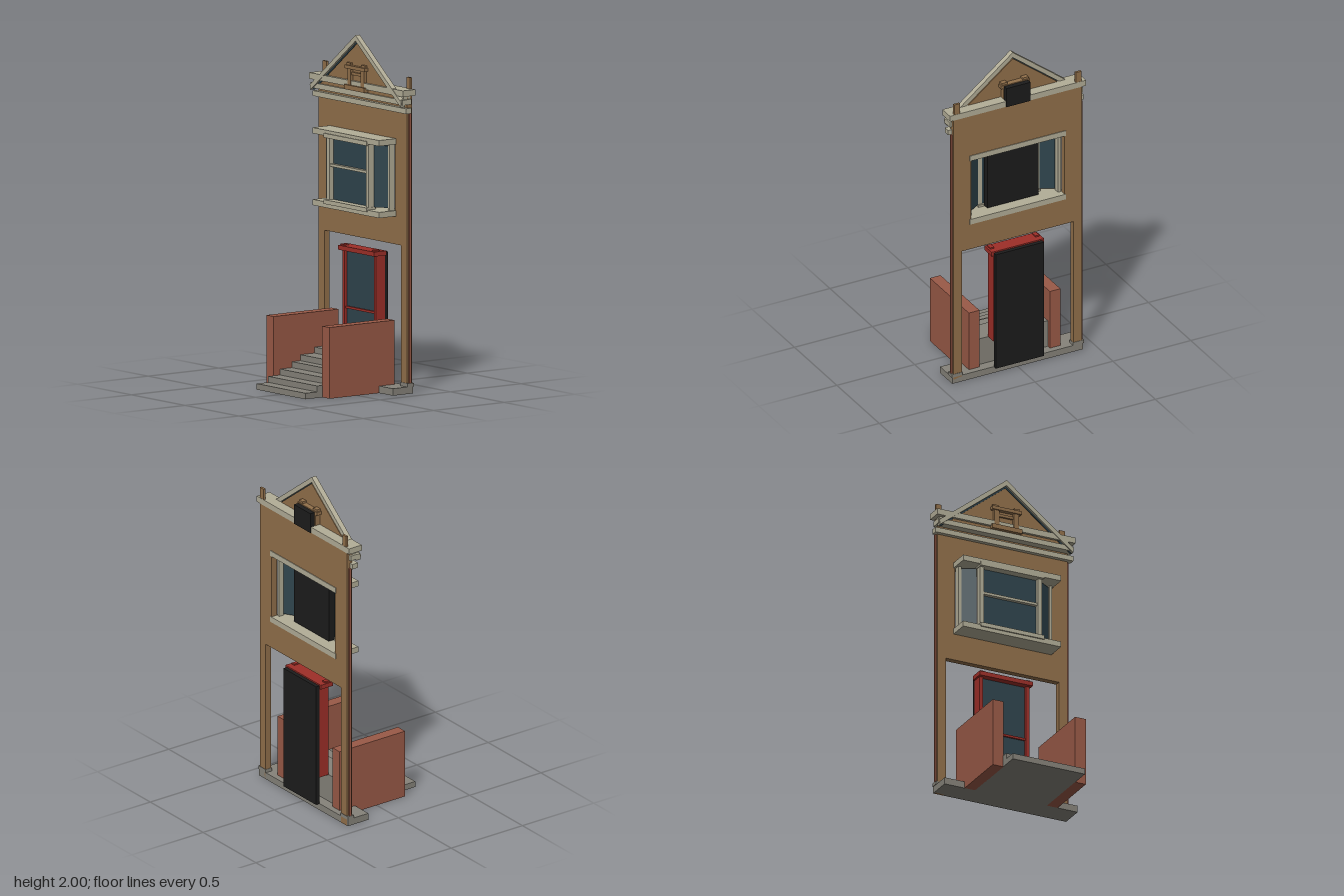
import * as THREE from 'three';

const mat = (name, color) => {
  const m = new THREE.MeshStandardMaterial({ color });
  m.name = name;
  return m;
};

export function createModel() {
  const root = new THREE.Group();
  root.name = 'townhouseFront';
  const wall = mat('tanWall', 0x92704b);
  const cream = mat('creamTrim', 0xb3ae98);
  const brick = mat('brick', 0x9a5a47);
  const red = mat('redDoor', 0x9e2f28);
  const stone = mat('greyStone', 0x86837a);
  const glass = mat('darkGlass', 0x2f444d);
  const black = mat('blackBacking', 0x1c1c1c);

  // box given by its limits on each axis
  const box = (name, m, x0, x1, y0, y1, z0, z1) => {
    const mesh = new THREE.Mesh(new THREE.BoxGeometry(x1 - x0, y1 - y0, z1 - z0), m);
    mesh.position.set((x0 + x1) / 2, (y0 + y1) / 2, (z0 + z1) / 2);
    mesh.name = name;
    root.add(mesh);
    return mesh;
  };
  const pair = (name, m, x0, x1, ...rest) => {
    box(name + 'Left', m, x0, x1, ...rest);
    box(name + 'Right', m, -x1, -x0, ...rest);
  };
  const wide = (name, m, x, ...rest) => box(name, m, -x, x, ...rest);
  // flat outline pushed from z0 to z1
  const plate = (name, m, points, z0, z1, hole) => {
    const shape = new THREE.Shape(points.map(p => new THREE.Vector2(...p)));
    if (hole) shape.holes.push(new THREE.Path(hole.map(p => new THREE.Vector2(...p))));
    const geo = new THREE.ExtrudeGeometry(shape, { depth: z1 - z0, bevelEnabled: false });
    const mesh = new THREE.Mesh(geo, m);
    mesh.position.z = z0;
    mesh.name = name;
    root.add(mesh);
  };

  // facade with doorway and window opening
  plate('facade', wall, [
    [-0.412, 0], [-0.357, 0], [-0.357, 0.84], [0.357, 0.84], [0.357, 0],
    [0.412, 0], [0.412, 1.7], [-0.412, 1.7],
  ], -0.296, -0.26, [[-0.3, 1.01], [-0.3, 1.43], [0.3, 1.43], [0.3, 1.01]]);
  pair('brickEdge', brick, 0.411, 0.422, 0.04, 1.6, -0.284, -0.27);
  pair('roofPost', wall, 0.372, 0.408, 1.7, 1.8, -0.299, -0.285);

  // cornice bands
  wide('corniceTop', cream, 0.437, 1.7, 1.735, -0.3, -0.21);
  wide('corniceMiddle', cream, 0.427, 1.65, 1.68, -0.28, -0.215);
  wide('corniceInset', cream, 0.412, 1.68, 1.7, -0.28, -0.235);
  wide('corniceBottom', cream, 0.435, 1.6, 1.63, -0.275, -0.235);

  // gable and its sloping trim
  plate('gable', wall, [[-0.39, 1.655], [0.39, 1.655], [0, 1.96]], -0.238, -0.226);
  plate('gableTrim', cream, [
    [0, 2], [-0.425, 1.667], [-0.42, 1.638], [0, 1.967], [0.42, 1.638], [0.425, 1.667],
  ], -0.238, -0.207);
  plate('gableShadowLine', glass, [
    [0, 1.968], [-0.42, 1.639], [-0.405, 1.639], [0, 1.956], [0.405, 1.639], [0.42, 1.639],
  ], -0.227, -0.222);

  // small attic opening
  wide('atticSill', wall, 0.094, 1.683, 1.71, -0.27, -0.198);
  wide('atticHead', wall, 0.092, 1.802, 1.822, -0.27, -0.2);
  pair('atticCap', wall, 0.05, 0.085, 1.822, 1.835, -0.265, -0.21);
  pair('atticJamb', wall, 0.045, 0.077, 1.71, 1.802, -0.27, -0.208);
  wide('atticRail', wall, 0.06, 1.768, 1.784, -0.25, -0.214);
  wide('atticBacking', black, 0.077, 1.7, 1.82, -0.305, -0.275);

  // bay window
  wide('baySill', cream, 0.309, 1.0, 1.033, -0.3, -0.14);
  wide('baySillStep', cream, 0.2, 1.022, 1.046, -0.2, -0.132);
  wide('bayHead', cream, 0.309, 1.41, 1.443, -0.3, -0.138);
  wide('bayHeadStep', cream, 0.2, 1.4, 1.425, -0.2, -0.132);
  pair('bayFrontPost', cream, 0.17, 0.196, 1.033, 1.41, -0.19, -0.152);
  pair('baySidePost', cream, 0.278, 0.296, 1.033, 1.41, -0.26, -0.225);
  wide('bayRail', cream, 0.17, 1.236, 1.251, -0.182, -0.158);
  wide('bayFrontPane', glass, 0.17, 1.046, 1.4, -0.188, -0.18);
  wide('bayBacking', black, 0.165, 1.04, 1.4, -0.24, -0.2);
  for (const s of [1, -1]) {
    const pane = box('baySidePane', glass, -0.043, 0.043, 1.046, 1.4, -0.004, 0.004);
    pane.position.x = s * 0.237;
    pane.position.z = -0.21;
    pane.rotation.y = s * 0.55;
  }

  // door
  wide('doorLintel', red, 0.168, 0.757, 0.783, -0.298, -0.212);
  pair('doorLintelCap', red, 0.133, 0.157, 0.783, 0.791, -0.262, -0.222);
  pair('doorJamb', red, 0.136, 0.157, 0.205, 0.757, -0.298, -0.235);
  wide('doorBottomPanel', red, 0.136, 0.205, 0.262, -0.28, -0.242);
  wide('doorRail', red, 0.136, 0.424, 0.437, -0.26, -0.242);
  wide('doorGlass', glass, 0.136, 0.262, 0.757, -0.26, -0.252);
  wide('doorBacking', black, 0.154, 0.04, 0.775, -0.322, -0.298);

  // steps, front edges from bottom to top
  [0.32, 0.238, 0.155, 0.07, 0.01, -0.09].forEach((z, i) => {
    wide('step' + (i + 1), stone, 0.228, i * 0.0342, (i + 1) * 0.0342, -0.235, z);
  });
  pair('stairWall', brick, 0.226, 0.294, 0, 0.406, -0.26, 0.2);

  // foundation
  wide('foundation', stone, 0.42, 0, 0.04, -0.296, -0.152);
  pair('footing', stone, 0.355, 0.424, 0.04, 0.06, -0.298, -0.255);

  return root;
}
